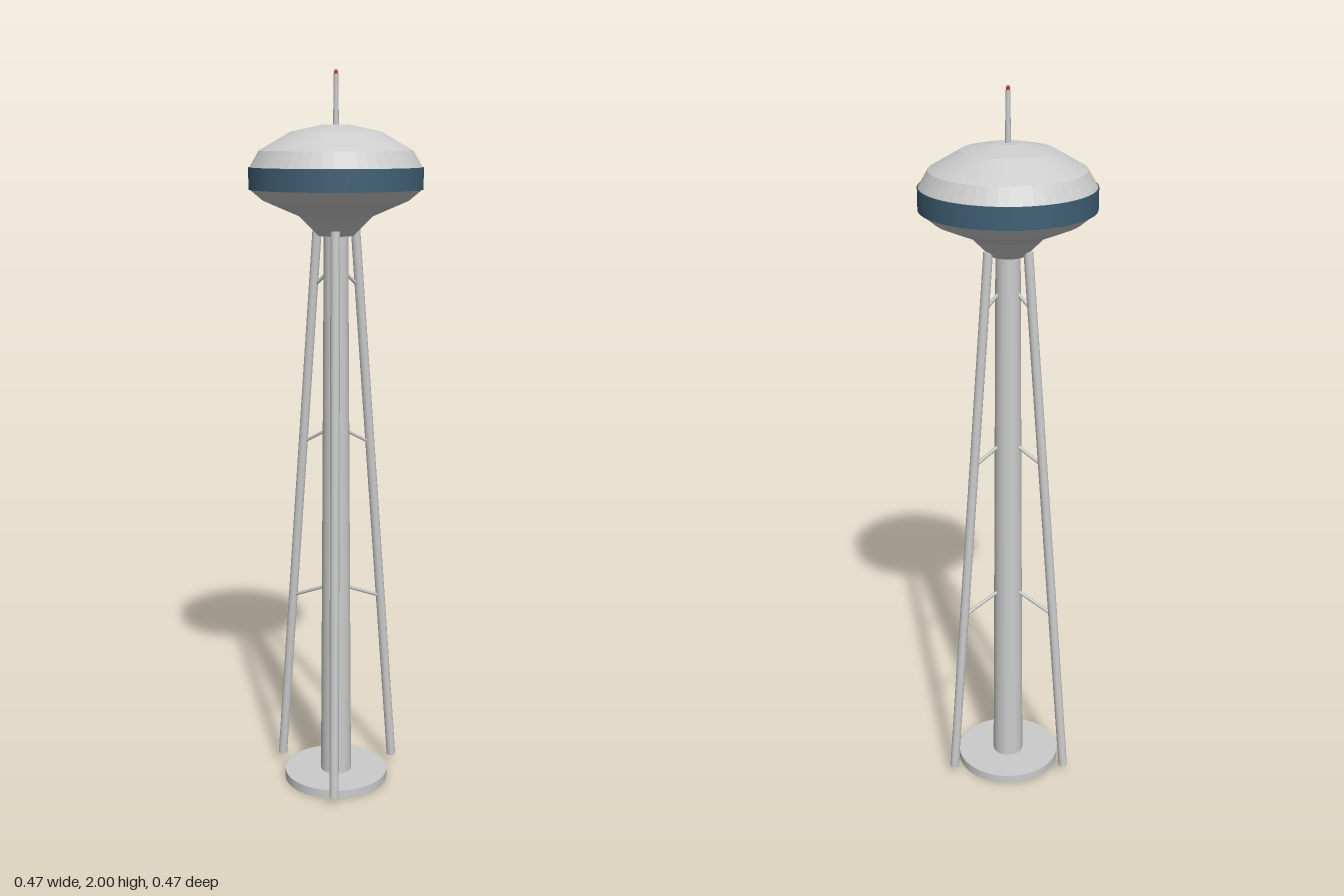
import * as THREE from 'three';

const V = (x, y, z = 0) => new THREE.Vector3(x, y, z);
const material = (color = 0xcccccc, flatShading = false) =>
  new THREE.MeshStandardMaterial({ color, flatShading });

function addMesh(parent, name, geometry, mat, y = 0) {
  const mesh = new THREE.Mesh(geometry, mat);
  mesh.name = name;
  mesh.position.y = y;
  parent.add(mesh);
  return mesh;
}

// Straight round bar between two points
function addBar(parent, name, a, b, radius, sides, mat) {
  const dir = b.clone().sub(a);
  const bar = addMesh(parent, name, new THREE.CylinderGeometry(radius, radius, dir.length(), sides), mat);
  bar.position.copy(a).add(b).multiplyScalar(0.5);
  bar.quaternion.setFromUnitVectors(V(0, 1, 0), dir.normalize());
}

export function createModel() {
  const tower = new THREE.Group();
  tower.name = 'waterTower';
  const grey = material();
  const flatGrey = material(0xcccccc, true);

  // Foundation and tapered central column
  addMesh(tower, 'foundation', new THREE.CylinderGeometry(0.148, 0.148, 0.025, 40), grey, 0.0125);
  addMesh(tower, 'column', new THREE.CylinderGeometry(0.033, 0.044, 1.56, 24), grey, 0.8);

  // Three leaning legs, each tied to the column by sloping braces
  const foot = V(0.187, 0.026);
  const head = V(0.06, 1.585);
  const braces = [[0.575, 0.53], [1.03, 0.99], [1.465, 1.43]];
  for (let i = 0; i < 3; i++) {
    const leg = new THREE.Group();
    leg.name = `legAssembly${i + 1}`;
    leg.rotation.y = (i * Math.PI * 2) / 3;
    addBar(leg, 'leg', foot, head, 0.013, 10, grey);
    for (const [yIn, yOut] of braces) {
      const t = (yOut - foot.y) / (head.y - foot.y);
      addBar(leg, 'brace', V(0.03, yIn + 0.003), foot.clone().lerp(head, t), 0.005, 6, grey);
    }
    tower.add(leg);
  }

  // Faceted tank with a conical underside and shallow domed roof
  const profile = [
    [0, 1.57], [0.048, 1.57], [0.1, 1.622], [0.195, 1.663], [0.23, 1.692],
    [0.23, 1.75], [0.205, 1.793], [0.12, 1.842], [0.037, 1.86], [0, 1.86],
  ].map(([r, y]) => new THREE.Vector2(r, y));
  addMesh(tower, 'tank', new THREE.LatheGeometry(profile, 48), flatGrey);
  addMesh(tower, 'tankBand', new THREE.CylinderGeometry(0.233, 0.233, 0.058, 48), material(0x3f6075), 1.721);

  // Mast with a red beacon
  addMesh(tower, 'mast', new THREE.CylinderGeometry(0.006, 0.008, 0.135, 10), grey, 1.9225);
  addMesh(tower, 'beacon', new THREE.CylinderGeometry(0.004, 0.006, 0.012, 10), material(0xa83c3c), 1.994);

  return tower;
}
